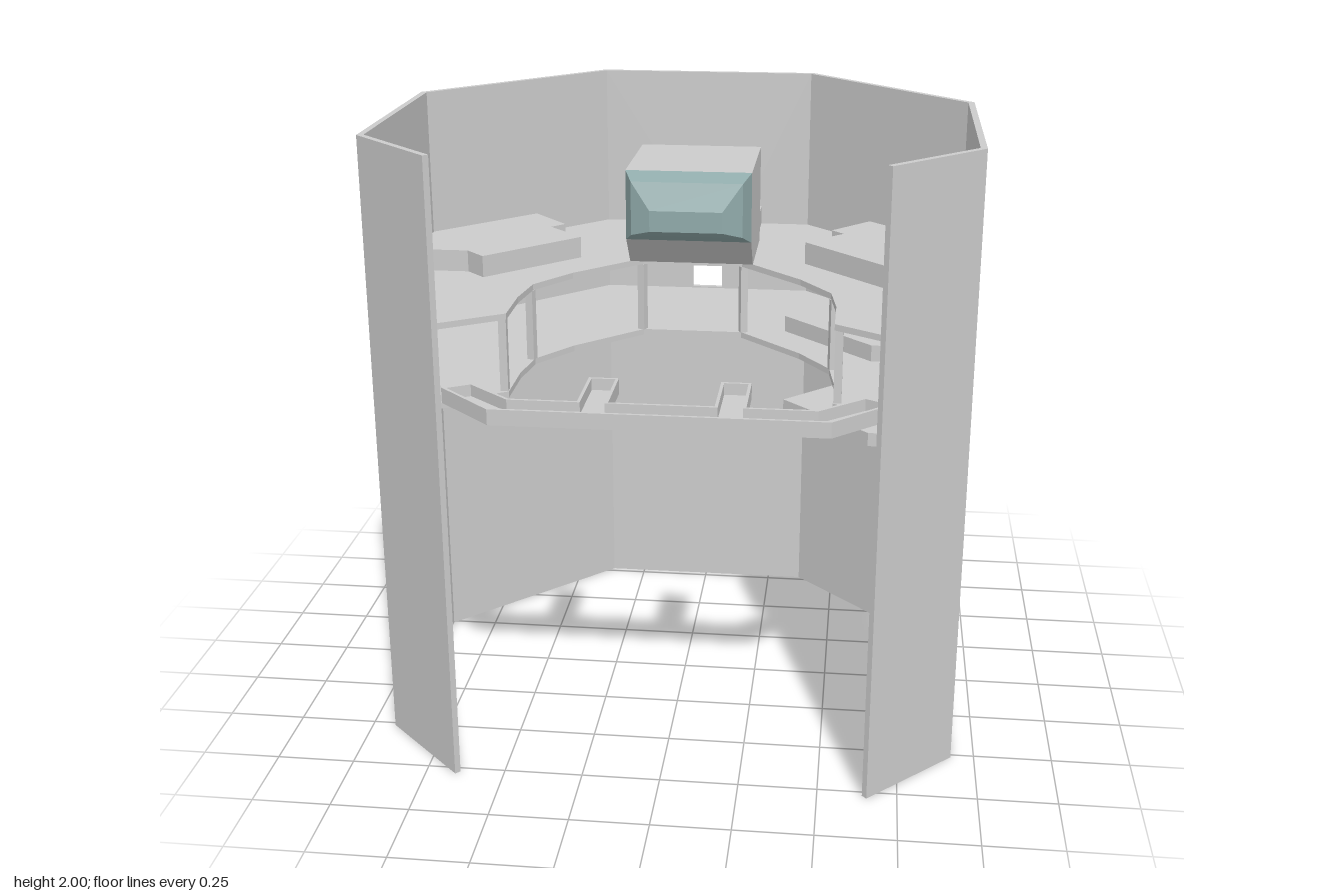
import * as THREE from 'three';

const grey = new THREE.MeshStandardMaterial({ color: 0xcccccc, flatShading: true });
const glass = new THREE.MeshStandardMaterial({ color: 0x90aaaa, flatShading: true, side: THREE.DoubleSide });

function add(group, name, geometry, material = grey) {
  const mesh = new THREE.Mesh(geometry, material);
  mesh.name = name;
  group.add(mesh);
  return mesh;
}

const mirrorX = pts => pts.map(([x, z]) => [-x, z]).reverse();
const toVectors = pts => pts.map(([x, z]) => new THREE.Vector2(x, -z));

// Horizontal slab from a plan outline of [x, z] points, with an optional hole
function slab(pts, y0, y1, hole) {
  const shape = new THREE.Shape(toVectors(pts));
  if (hole) shape.holes.push(new THREE.Path(toVectors(hole)));
  const geo = new THREE.ExtrudeGeometry(shape, { depth: y1 - y0, bevelEnabled: false });
  return geo.rotateX(-Math.PI / 2).translate(0, y0, 0);
}

// Moves every edge of a closed outline inward by d
function inset(pts, d) {
  const v = pts.map(p => new THREE.Vector2(...p));
  const sign = THREE.ShapeUtils.isClockWise(v) ? -1 : 1;
  return v.map((p, i) => {
    const a = p.clone().sub(v[(i + v.length - 1) % v.length]).normalize();
    const b = v[(i + 1) % v.length].clone().sub(p).normalize();
    const na = new THREE.Vector2(-a.y, a.x), nb = new THREE.Vector2(-b.y, b.x);
    const k = sign * d / (1 + na.dot(nb));
    return [p.x + (na.x + nb.x) * k, p.y + (na.y + nb.y) * k];
  });
}

// Upright wall panel from a to b, with mitred ends and window holes [u0, u1, y0, y1]
function wallPanel(a, b, windows, mitreA, mitreB) {
  const t = 0.02, m = t * Math.tan(Math.PI / 8);
  const dir = new THREE.Vector3(b[0] - a[0], 0, b[1] - a[1]);
  const len = dir.length();
  dir.normalize();
  const rect = (u0, u1, y0, y1) =>
    [[u0, y0], [u1, y0], [u1, y1], [u0, y1]].map(p => new THREE.Vector2(...p));
  const shape = new THREE.Shape(rect(0, len, 0, 2));
  windows.forEach(w => shape.holes.push(new THREE.Path(rect(...w))));
  const geo = new THREE.ExtrudeGeometry(shape, { depth: t, bevelEnabled: false });
  geo.translate(0, 0, -t);
  const pos = geo.attributes.position;
  for (let i = 0; i < pos.count; i++) {
    if (pos.getZ(i) > -t / 2) continue;
    if (mitreA && pos.getX(i) < 1e-4) pos.setX(i, m);
    if (mitreB && pos.getX(i) > len - 1e-4) pos.setX(i, len - m);
  }
  const up = new THREE.Vector3(0, 1, 0);
  const out = new THREE.Vector3().crossVectors(dir, up);
  geo.applyMatrix4(new THREE.Matrix4().makeBasis(dir, up, out).setPosition(a[0], 0, a[1]));
  geo.computeVertexNormals();
  return geo;
}

// Rectangular rings [halfWidth, y0, y1, z] joined front to back and capped
function loftRects(rings) {
  const verts = [], index = [];
  rings.forEach(([w, y0, y1, z]) => verts.push(-w, y0, z, w, y0, z, w, y1, z, -w, y1, z));
  for (let r = 0; r < rings.length - 1; r++) {
    for (let i = 0; i < 4; i++) {
      const a = r * 4 + i, b = r * 4 + (i + 1) % 4;
      index.push(a, b, b + 4, a, b + 4, a + 4);
    }
  }
  const e = (rings.length - 1) * 4;
  index.push(e, e + 1, e + 2, e, e + 2, e + 3);
  const geo = new THREE.BufferGeometry();
  geo.setAttribute('position', new THREE.Float32BufferAttribute(verts, 3));
  geo.setIndex(index);
  const flat = geo.toNonIndexed();
  flat.computeVertexNormals();
  return flat;
}

export function createModel() {
  const model = new THREE.Group();

  // Eight-sided shell, open at the front
  const halfWall = [[0.655, 0.785], [0.925, 0.515], [0.925, -0.245], [0.38, -0.79]];
  const corners = [...halfWall, ...mirrorX(halfWall)];
  const windows = {
    1: [[0.075, 0.175, 1.46, 1.59], [0.075, 0.175, 1.195, 1.315], [0.145, 0.255, 0.89, 1.015]],
    3: [[0.325, 0.435, 1.195, 1.32]],
    5: [[0.085, 0.185, 1.52, 1.645], [0.505, 0.61, 1.46, 1.59], [0.39, 0.49, 0.885, 1.01]],
  };
  const shell = new THREE.Group();
  shell.name = 'shell';
  model.add(shell);
  for (let i = 0; i < 7; i++) {
    add(shell, 'wallPanel', wallPanel(corners[i], corners[i + 1], windows[i] || [], i > 0, i < 6));
  }

  // Two horseshoe decks joined by posts along the inner edge
  const outer = [[0.78, 0.64], [0.905, 0.507], [0.905, -0.237], [0.372, -0.77]];
  const inner = [[0.17, -0.23], [0.21, -0.19], [0.38, -0.02], [0.485, 0.13], [0.505, 0.28], [0.505, 0.46]];
  const deck = [...outer, ...mirrorX(outer), ...mirrorX(inner), ...inner];
  add(model, 'lowerDeck', slab(deck, 1.17, 1.19));
  add(model, 'upperDeck', slab(deck, 1.425, 1.445));
  for (const s of [-1, 1]) {
    for (const [x, z, turn] of [[0.175, -0.24, 0.4], [0.495, 0.13, 0.3], [0.52, 0.445, 0]]) {
      const post = add(model, 'deckPost', new THREE.BoxGeometry(0.025, 0.235, 0.025));
      post.position.set(s * x, 1.3075, z);
      post.rotation.y = s * turn;
    }
  }

  // Stepped consoles on the upper deck
  const consolePlan = [[0.6, -0.54], [0.47, -0.395], [0.512, -0.35], [0.385, -0.22],
    [0.665, 0.065], [0.73, 0], [0.905, 0], [0.905, -0.237]];
  add(model, 'leftConsole', slab(consolePlan, 1.445, 1.52));
  add(model, 'rightConsole', slab(mirrorX(consolePlan), 1.445, 1.517));

  // Shelves on the left side, on and under the lower deck
  const shelfPlan = [[0.6, -0.54], [0.32, -0.26], [0.62, 0.04], [0.905, 0.04], [0.905, -0.237]];
  add(model, 'deckShelf', slab(shelfPlan, 1.19, 1.245));
  add(model, 'lowerShelf', slab(shelfPlan, 0.89, 0.937));

  // Front gangway: a shallow tray with two arms reaching inward
  const halfTray = [[0.51, 0.755], [0.69, 0.58], [0.605, 0.53], [0.465, 0.655],
    [0.255, 0.655], [0.255, 0.435], [0.16, 0.435], [0.16, 0.655]];
  const tray = [...halfTray, ...mirrorX(halfTray)];
  add(model, 'gangwayFloor', slab(tray, 1.188, 1.2));
  add(model, 'gangwayRim', slab(tray, 1.2, 1.238, inset(tray, 0.01)));

  // Cabin with a slanted underside, its rear support and its faceted window
  const side = [[-0.53, 1.445], [-0.19, 1.445], [-0.1, 1.545], [-0.1, 1.78], [-0.53, 1.78]];
  const cabin = new THREE.ExtrudeGeometry(
    new THREE.Shape(side.map(p => new THREE.Vector2(...p))), { depth: 0.42, bevelEnabled: false });
  add(model, 'cabin', cabin.rotateY(-Math.PI / 2).translate(0.21, 0, 0));
  const support = add(model, 'cabinSupport', new THREE.BoxGeometry(0.4, 0.065, 0.24));
  support.position.set(0, 1.4775, -0.65);
  add(model, 'cabinWindow', loftRects([
    [0.21, 1.545, 1.78, -0.1], [0.185, 1.575, 1.755, -0.04], [0.12, 1.595, 1.665, -0.01],
  ]), glass);

  return model;
}
